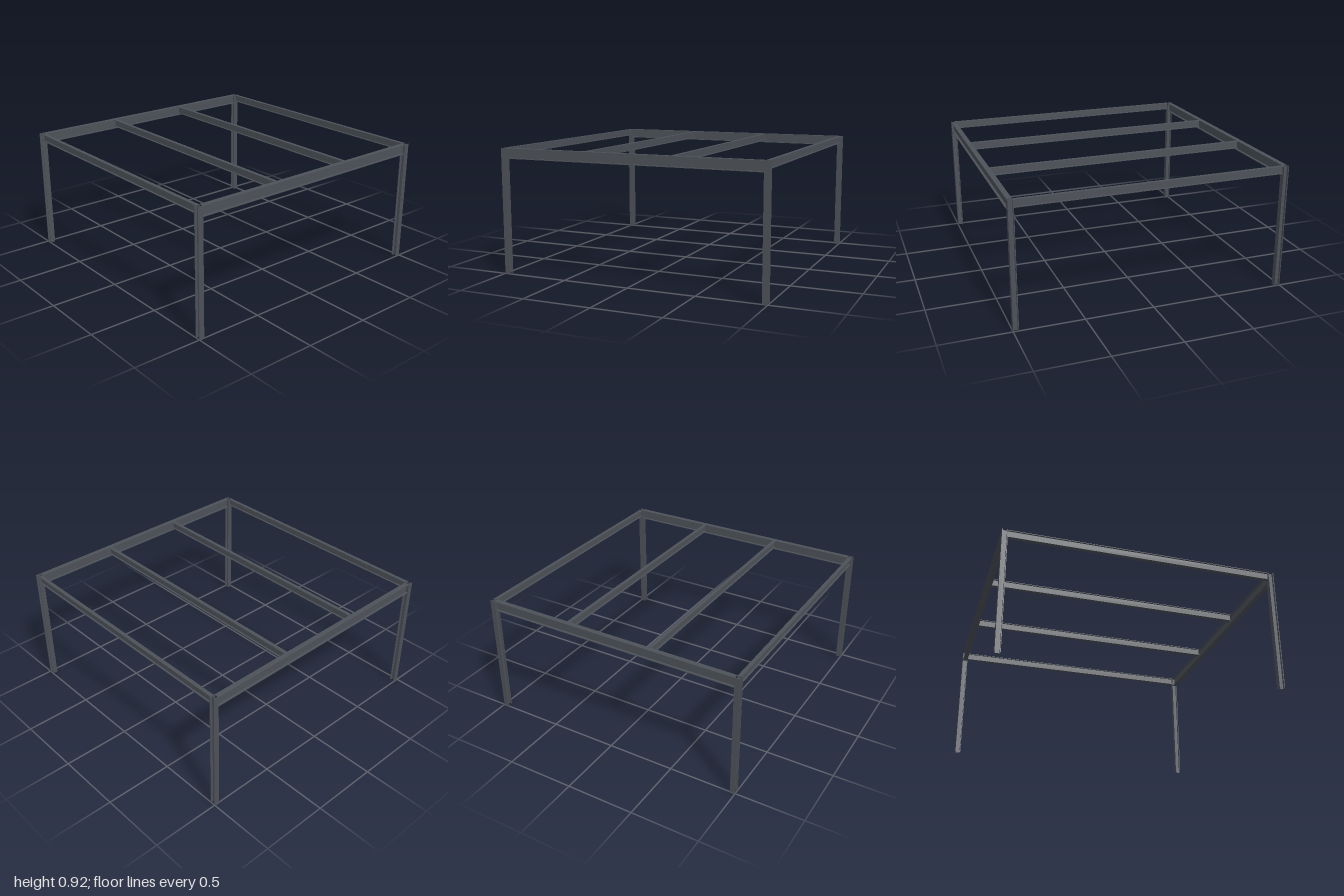
import * as THREE from 'three';

const steel = new THREE.MeshStandardMaterial({ color: 0x4d5259 });
steel.name = 'dark grey steel';

const TOP = 0.917;

// I-section extruded along z, centred on the origin: flanges at +-y, web upright
function iBeam(name, width, height, length, flange, web) {
  const w = width / 2, h = height / 2, f = h - flange, t = web / 2;
  const outline = [
    [-w, -h], [w, -h], [w, -f], [t, -f], [t, f], [w, f],
    [w, h], [-w, h], [-w, f], [-t, f], [-t, -f], [-w, -f],
  ].map(([x, y]) => new THREE.Vector2(x, y));
  const geometry = new THREE.ExtrudeGeometry(new THREE.Shape(outline), { depth: length, bevelEnabled: false });
  geometry.translate(0, 0, -length / 2);
  const mesh = new THREE.Mesh(geometry, steel);
  mesh.name = name;
  return mesh;
}

export function createModel() {
  const model = new THREE.Group();
  model.name = 'steelFrame';

  // Corner columns, flanges facing front and back
  for (const x of [-0.98, 0.98]) {
    for (const z of [-0.98, 0.98]) {
      const column = iBeam('column', 0.04, 0.04, TOP, 0.005, 0.004);
      column.rotation.x = -Math.PI / 2;
      column.position.set(x, TOP / 2, z);
      model.add(column);
    }
  }

  // Deep main beams across the front and back
  for (const z of [-0.981, 0.981]) {
    const beam = iBeam('mainBeam', 0.037, 0.075, 1.92, 0.005, 0.004);
    beam.rotation.y = Math.PI / 2;
    beam.position.set(0, TOP - 0.0375, z);
    model.add(beam);
  }

  // Shallower joists running front to back
  for (const x of [-0.98, -0.327, 0.327, 0.98]) {
    const joist = iBeam('joist', 0.028, 0.055, 1.922, 0.004, 0.003);
    joist.position.set(x, TOP - 0.0275, 0);
    model.add(joist);
  }
  return model;
}
